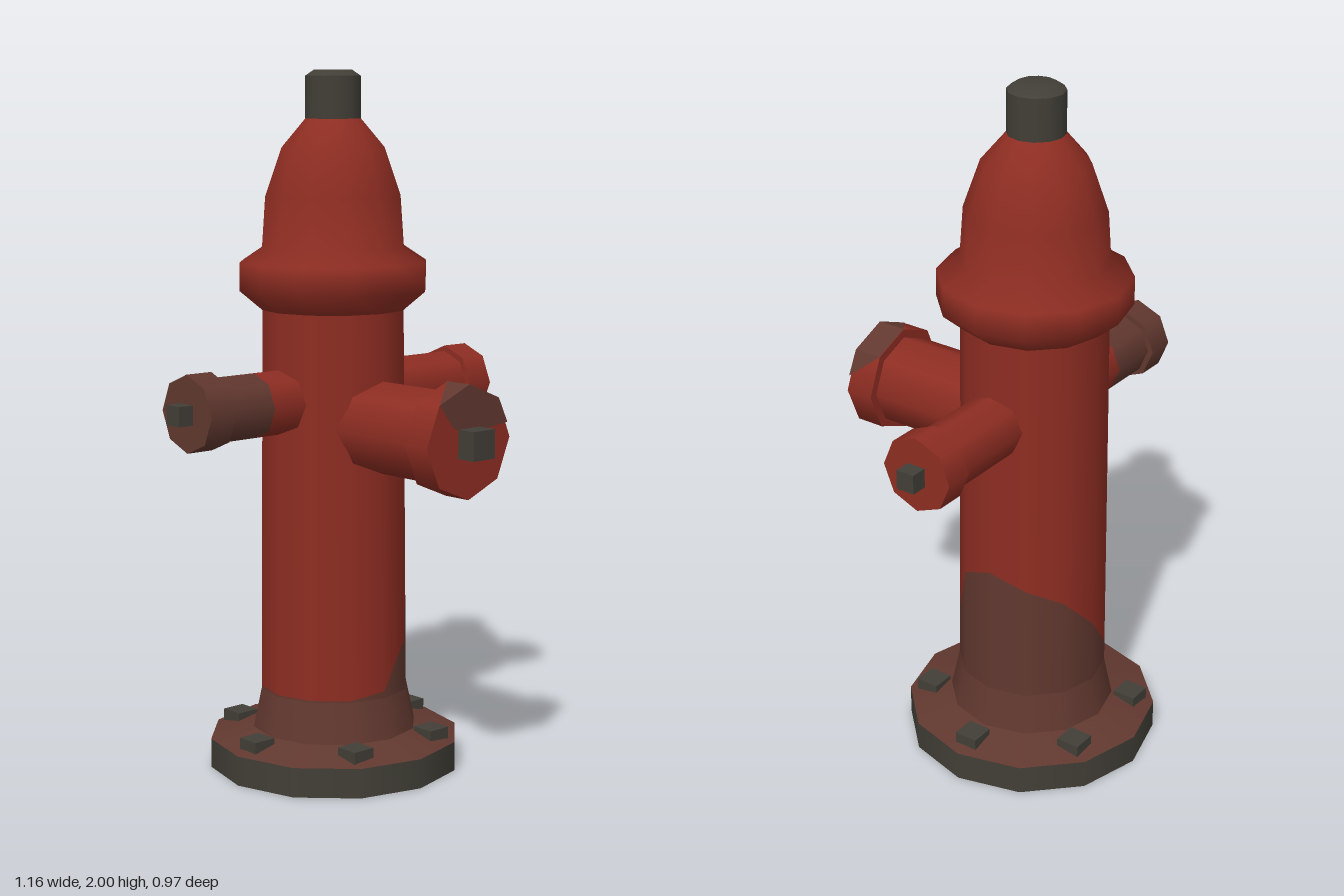
import * as THREE from 'three';

const SIDES = 12;
const AXIS_Z = -0.12; // the barrel stands behind the centre, the big outlet reaches forward

const mat = (name, color) => {
  const m = new THREE.MeshStandardMaterial({ color });
  m.name = name;
  return m;
};

export function createModel() {
  const red = mat('red paint', 0x8e2d22);
  const rust = mat('rust', 0x61382f);
  const iron = mat('dark iron', 0x423f37);

  const model = new THREE.Group();
  model.name = 'hydrant';
  const column = new THREE.Group();
  column.name = 'column';
  column.position.z = AXIS_Z;
  model.add(column);

  const add = (parent, name, geometry, material, x = 0, y = 0, z = 0) => {
    const mesh = new THREE.Mesh(geometry, material);
    mesh.name = name;
    mesh.position.set(x, y, z);
    parent.add(mesh);
    return mesh;
  };
  const lathe = (points) =>
    new THREE.LatheGeometry(points.map(([r, y]) => new THREE.Vector2(r, y)), SIDES);

  // Base plate: iron rim, rusty sloping top, rusty foot of the barrel
  add(column, 'baseRim', new THREE.CylinderGeometry(0.365, 0.365, 0.085, SIDES), iron, 0, 0.0425, 0);
  add(column, 'baseTop', lathe([[0.365, 0.085], [0.24, 0.115]]), rust);
  add(column, 'barrelFoot', lathe([[0.24, 0.112], [0.215, 0.23]]), rust);

  // Six bolts around the base
  for (let i = 0; i < 6; i++) {
    const a = (i * Math.PI) / 3;
    add(column, 'baseBolt', new THREE.BoxGeometry(0.07, 0.04, 0.07), iron,
      0.294 * Math.cos(a), 0.105, 0.294 * Math.sin(a));
  }

  // Barrel: height of the rust line at each corner, from the front towards +x
  const rustLine = [0.25, 0.38, 0.57, 0.62, 0.58, 0.53, 0.42, 0.29, 0.235, 0.235, 0.235, 0.235];
  const low = 0.23, high = 1.33;
  const barrelRadius = (y) => 0.215 - 0.01 * (y - low) / (high - low);
  const barrelPart = (movedEnd) => {
    const g = lathe([[barrelRadius(low), low], [barrelRadius(high), high]]);
    const p = g.attributes.position;
    for (let i = 0; i <= SIDES; i++) {
      const a = (i / SIDES) * Math.PI * 2;
      const y = rustLine[i % SIDES];
      const r = barrelRadius(y);
      p.setXYZ(i * 2 + movedEnd, r * Math.sin(a), y, r * Math.cos(a));
    }
    return g;
  };
  add(column, 'barrelRust', barrelPart(1), rust);
  add(column, 'barrel', barrelPart(0), red);

  // Collar and bonnet
  add(column, 'bonnet', lathe([
    [0.205, 1.33], [0.27, 1.385], [0.27, 1.465], [0.205, 1.508],
    [0.195, 1.65], [0.148, 1.785], [0.08, 1.865], [0.06, 1.87],
  ]), red);

  // Operating nut on top
  add(column, 'topNut', lathe([[0.08, 1.85], [0.08, 1.983]]), iron);
  add(column, 'topNutCrown', lathe([[0.08, 1.983], [0.055, 2.0], [0, 2.0]]), iron);

  // Outlets are built along +z, starting on the barrel axis
  const tube = (r, from, to) => {
    const g = new THREE.CylinderGeometry(r, r, to - from, 8);
    return g.rotateX(Math.PI / 2).translate(0, 0, (from + to) / 2);
  };
  const outlet = (name, y, angle, s, capMaterial) => {
    const g = new THREE.Group();
    g.name = name;
    g.position.y = y;
    g.rotation.y = angle;
    column.add(g);
    add(g, 'pipe', tube(s.pipe, 0.1, s.pipeEnd), red);
    if (s.rustFrom) add(g, 'rustyPipe', tube(s.pipe, s.rustFrom, s.capStart + 0.01), rust);
    add(g, 'cap', tube(s.cap, s.capStart, s.capEnd), capMaterial);
    const depth = s.nutEnd - s.capEnd + 0.02;
    add(g, 'capNut', new THREE.BoxGeometry(s.nut, s.nut, depth), iron, 0, 0, s.nutEnd - depth / 2);
    return g;
  };
  const side = { pipe: 0.091, cap: 0.108, capStart: 0.445, capEnd: 0.53, nut: 0.055, nutEnd: 0.578 };
  outlet('leftOutlet', 1.08, Math.PI / 2, { ...side, pipeEnd: 0.455 }, red);
  outlet('rightOutlet', 1.08, -Math.PI / 2, { ...side, pipeEnd: 0.295, rustFrom: 0.295 }, rust);
  const front = outlet('frontOutlet', 1.01, 0, {
    pipe: 0.131, pipeEnd: 0.47, cap: 0.157, capStart: 0.46, capEnd: 0.545, nut: 0.08, nutEnd: 0.604,
  }, red);

  // Rust patch over the top of the front cap, just proud of its faces
  const R = 0.1585, D = R * Math.SQRT1_2, near = 0.547, far = 0.46;
  const patch = [
    // upper left face (triangle), upper right face, right face (triangle)
    [[-D, D, near], [0, R, near], [0, R, far]],
    [[0, R, near], [D, D, near], [D, D, far], [0, R, far]],
    [[D, D, near], [0.146, 0.042, near], [D, D, far]],
    // end face
    [[-D, D, near], [-0.06, 0.045, near], [0, 0.025, near], [0.146, 0.042, near], [D, D, near], [0, R, near]],
  ];
  const corners = [];
  for (const face of patch) {
    for (let i = 1; i < face.length - 1; i++) corners.push(...face[0], ...face[i], ...face[i + 1]);
  }
  const patchGeometry = new THREE.BufferGeometry();
  patchGeometry.setAttribute('position', new THREE.Float32BufferAttribute(corners, 3));
  patchGeometry.computeVertexNormals();
  add(front, 'capRust', patchGeometry, rust);
  // The first faces were listed clockwise or not alike, so turn any that face inwards
  const p = patchGeometry.attributes.position, n = patchGeometry.attributes.normal;
  for (let i = 0; i < p.count; i += 3) {
    const isEnd = [0, 1, 2].every((k) => Math.abs(p.getZ(i + k) - near) < 1e-6);
    const out = isEnd ? n.getZ(i) : n.getX(i) * p.getX(i + 1) + n.getY(i) * p.getY(i + 1);
    if (out >= 0) continue;
    const b = [p.getX(i + 1), p.getY(i + 1), p.getZ(i + 1)];
    p.setXYZ(i + 1, p.getX(i + 2), p.getY(i + 2), p.getZ(i + 2));
    p.setXYZ(i + 2, ...b);
  }
  patchGeometry.computeVertexNormals();

  return model;
}
